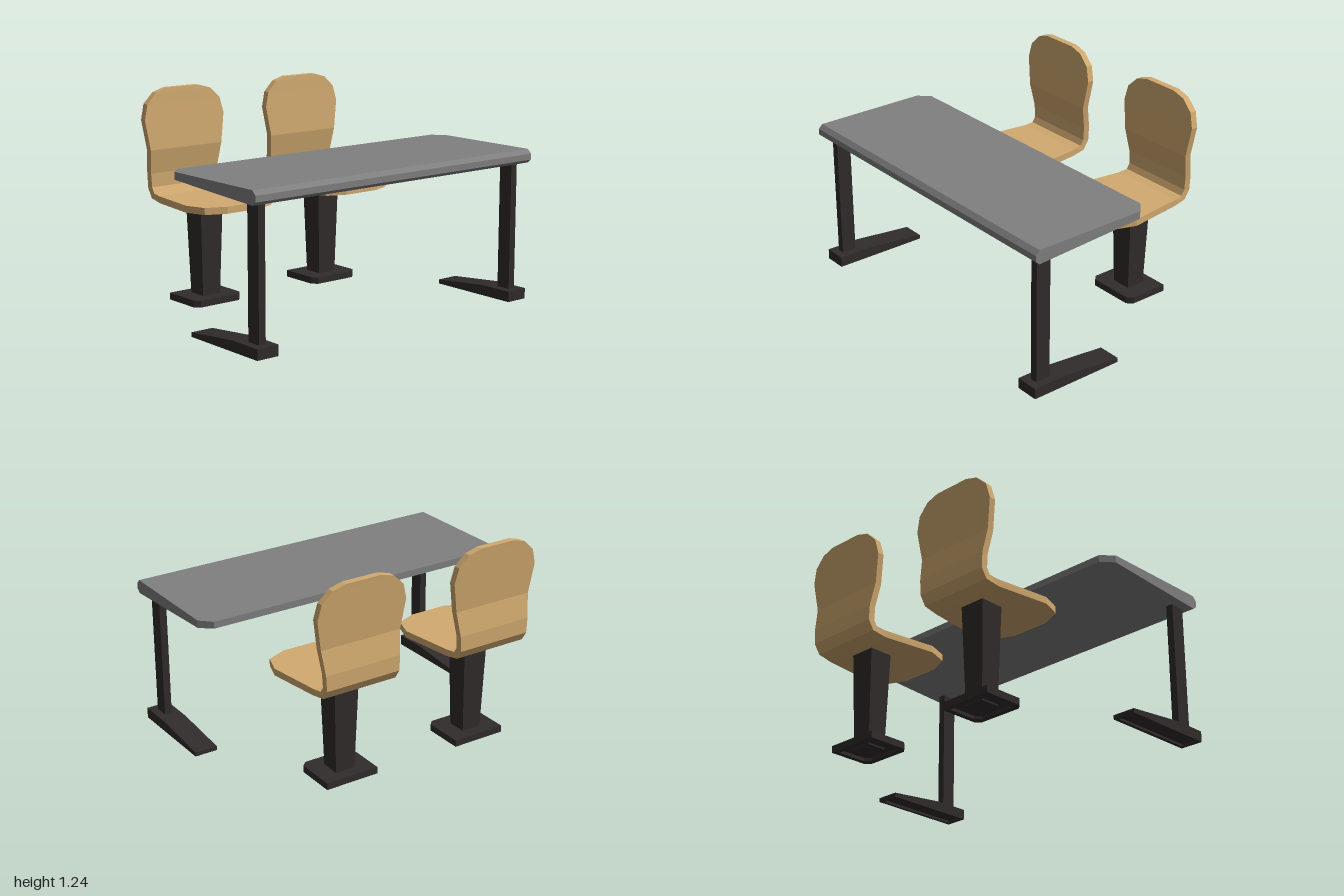
import * as THREE from 'three';

const material = (color) => new THREE.MeshStandardMaterial({ color, flatShading: true, roughness: 0.8 });
const wood = material(0xd2aa70);
const grey = material(0x808080);
const dark = material(0x302c2b);

// Skin a list of equal-length rings (counter-clockwise about the sweep direction), capped at both ends.
function loft(rings) {
  const n = rings[0].length;
  const index = [];
  for (let i = 0; i < rings.length - 1; i++) {
    for (let j = 0; j < n; j++) {
      const k = (j + 1) % n;
      const a = i * n + j, b = i * n + k, c = b + n, d = a + n;
      index.push(a, b, c, a, c, d);
    }
  }
  const last = (rings.length - 1) * n;
  for (let j = 1; j < n - 1; j++) {
    index.push(0, j + 1, j, last, last + j, last + j + 1);
  }
  const indexed = new THREE.BufferGeometry();
  indexed.setAttribute('position', new THREE.Float32BufferAttribute(rings.flat(2), 3));
  indexed.setIndex(index);
  const geometry = indexed.toNonIndexed();
  geometry.computeVertexNormals();
  return geometry;
}

function part(name, geometry, mat, parent) {
  const mesh = new THREE.Mesh(geometry, mat);
  mesh.name = name;
  parent.add(mesh);
  return mesh;
}

// Horizontal rectangle ring
const rect = (cx, hx, hz, y) => [[cx - hx, y, hz], [cx + hx, y, hz], [cx + hx, y, -hz], [cx - hx, y, -hz]];

// Bent shell: outer x, y, inner x, y, half width
const SHELL = [
  [-0.10, 0.585, -0.10, 0.625, 0.115],
  [-0.15, 0.585, -0.15, 0.625, 0.235],
  [-0.27, 0.585, -0.27, 0.625, 0.277],
  [-0.59, 0.585, -0.60, 0.625, 0.235],
  [-0.68, 0.60, -0.655, 0.632, 0.23],
  [-0.715, 0.655, -0.675, 0.665, 0.23],
  [-0.715, 0.745, -0.675, 0.745, 0.235],
  [-0.69, 0.885, -0.65, 0.885, 0.25],
  [-0.703, 1.06, -0.663, 1.06, 0.278],
  [-0.709, 1.15, -0.669, 1.15, 0.255],
  [-0.713, 1.212, -0.673, 1.212, 0.19],
  [-0.715, 1.235, -0.675, 1.235, 0.11],
];

function createChair() {
  const chair = new THREE.Group();
  chair.name = 'chair';
  const shell = SHELL.map(([ox, oy, ix, iy, w]) => [[ox, oy, -w], [ox, oy, w], [ix, iy, w], [ix, iy, -w]]);
  part('seatShell', loft(shell), wood, chair);

  // Tapered column
  part('pedestal', loft([rect(-0.48, 0.058, 0.06, 0.01), rect(-0.482, 0.073, 0.078, 0.588)]), dark, chair);

  // Floor plate with clipped front corners and a recessed underside
  const plate = (inset, y) => {
    const x0 = -0.61 + inset, x1 = -0.34 - inset, z = 0.165 - inset, c = 0.03;
    return [[x0, y, z], [x1 - c, y, z], [x1, y, z - c], [x1, y, c - z], [x1 - c, y, -z], [x0, y, -z]];
  };
  part('floorPlate', loft([plate(0.03, 0.02), plate(0.03, 0), plate(0, 0), plate(0, 0.04)]), dark, chair);
  return chair;
}

function createTable() {
  const table = new THREE.Group();
  table.name = 'table';

  // Top: tapered profile, bevelled along one long edge, two clipped corners along the other
  const slab = (z, x0) => [
    [x0, 0.845 - 0.054 * (x0 + 0.06), z], [0.685, 0.805, z], [0.71, 0.825, z],
    [0.71, 0.86, z], [0.685, 0.885, z], [x0, 0.885, z],
  ];
  part('tableTop', loft([slab(-1, 0.005), slab(-0.935, -0.06), slab(0.935, -0.06), slab(1, 0.005)]), grey, table);

  // Foot: wedge with a recessed underside
  const foot = (inset, yTip, yHeel) => {
    const x0 = 0.12 + inset, x1 = 0.70 - inset, z = 0.069 - inset;
    return [[0.49, yHeel, z], [x1, yHeel, z], [x1, yHeel, -z], [0.49, yHeel, -z], [x0, yTip, -z], [x0, yTip, z]];
  };
  const footGeometry = loft([foot(0.02, 0.014, 0.014), foot(0.02, 0, 0), foot(0, 0, 0), foot(0, 0.025, 0.062)]);
  const legGeometry = new THREE.BoxGeometry(0.09, 0.76, 0.044);
  for (const side of [-1, 1]) {
    part('tableLeg', legGeometry, dark, table).position.set(0.61, 0.435, side * 0.92);
    part('tableFoot', footGeometry, dark, table).position.z = side * 0.919;
  }
  return table;
}

export function createModel() {
  const model = new THREE.Group();
  model.name = 'deskWithTwoChairs';
  model.add(createTable());
  for (const z of [0.461, -0.414]) {
    const chair = createChair();
    chair.position.z = z;
    model.add(chair);
  }
  return model;
}
